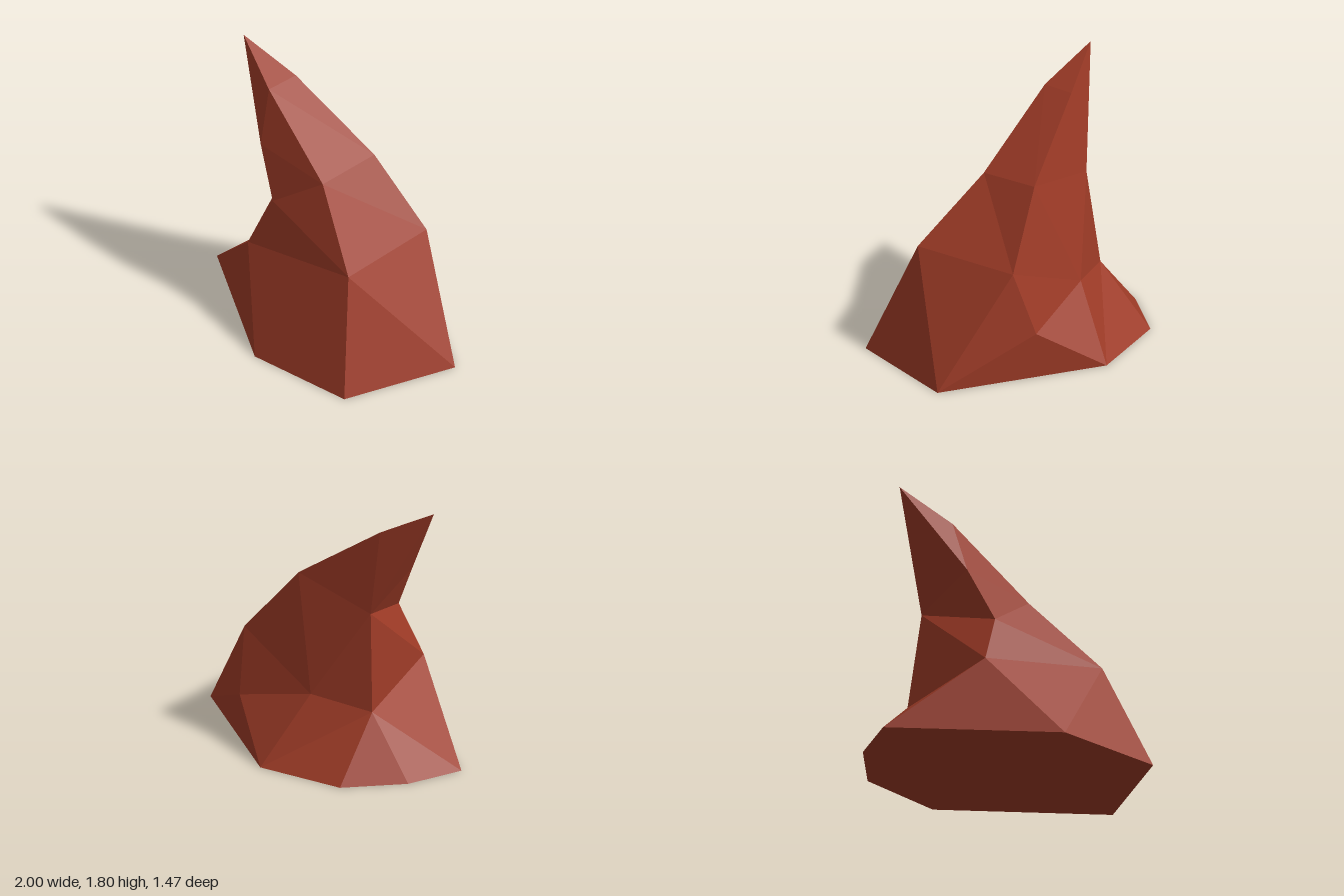
import * as THREE from 'three';

// Cross-sections of the rock horn, each running anticlockwise seen from above
const base = [[-1, 0, 0.12], [0.02, 0, 0.73], [0.78, 0, 0.64], [1, 0, -0.14],
  [-0.01, 0, -0.74], [-0.61, 0, -0.62], [-0.89, 0, -0.27]];
const shoulder = [[-0.39, 0.55, 0.41], [0.55, 0.73, 0.39], [0.49, 0.73, -0.36],
  [0.41, 0.31, -0.49], [-0.15, 0.46, -0.41], [-0.55, 0.4, -0.25]];
const neck = [[-0.25, 0.9, 0.32], [0.1, 1.15, 0.2], [0.12, 1.19, -0.24], [-0.48, 1.06, -0.19]];
const tip = [[-0.43, 1.23, 0.26], [-0.47, 1.59, 0.15], [-0.46, 1.6, -0.08], [-0.82, 1.8, 0.05]];

// Joins two closed rings; each step advances the lower (L) or upper (U) ring by one corner
function stitch(lower, upper, steps) {
  const triangles = [];
  let l = 0, u = 0;
  for (const step of steps) {
    const a = lower[l % lower.length], b = upper[u % upper.length];
    if (step === 'L') triangles.push(a, lower[++l % lower.length], b);
    else triangles.push(a, upper[++u % upper.length], b);
  }
  return triangles;
}

// Closes a ring with a fan around its last corner, facing up
function cap(ring) {
  const triangles = [];
  for (let i = 0; i < ring.length - 2; i++) triangles.push(ring[i], ring[i + 1], ring[ring.length - 1]);
  return triangles;
}

export function createModel() {
  const rust = new THREE.MeshStandardMaterial({ color: 0x9c3a26 });
  rust.name = 'rust red stone';

  const upperShoulder = shoulder.filter((_, i) => i !== 3); // ring without the low rear corner
  const corners = [
    ...cap([...base].reverse()), // underside
    ...stitch(base, shoulder, 'LULLUULUULLLU'),
    ...cap([shoulder[2], shoulder[3], shoulder[4]]), // low rear facet
    ...stitch(upperShoulder, neck, 'LULULULLU'),
    ...stitch(neck, tip, 'LULULUUL'),
    ...cap(tip),
  ];

  // Unshared corners give flat facets
  const geometry = new THREE.BufferGeometry();
  geometry.setAttribute('position', new THREE.Float32BufferAttribute(corners.flat(), 3));
  geometry.computeVertexNormals();

  const rock = new THREE.Mesh(geometry, rust);
  rock.name = 'rockHorn';
  const group = new THREE.Group();
  group.name = 'rock';
  group.add(rock);
  return group;
}
